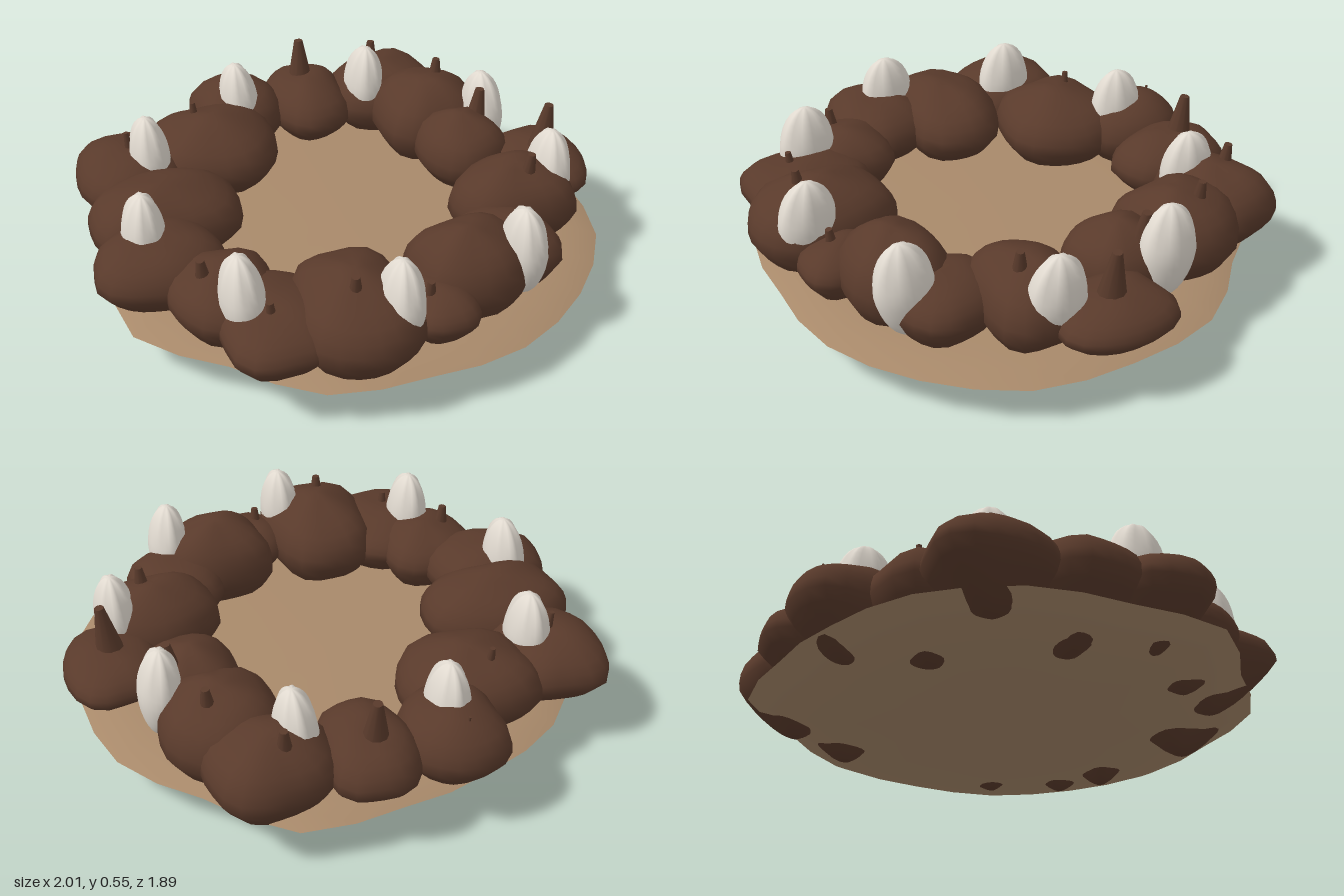
import * as THREE from 'three';
import { mergeVertices, toCreasedNormals } from 'three/addons/utils/BufferGeometryUtils.js';

const brown = new THREE.MeshStandardMaterial({ name: 'earthBrown', color: 0x593a2b });
const tan = new THREE.MeshStandardMaterial({ name: 'sandTan', color: 0xa8896a });
const cream = new THREE.MeshStandardMaterial({ name: 'eggCream', color: 0xe0d9cf });

// Moves every vertex by a rule, welds seams and smooths
function deform(geometry, rule) {
  const pos = geometry.attributes.position;
  const v = new THREE.Vector3();
  for (let i = 0; i < pos.count; i++) {
    v.fromBufferAttribute(pos, i);
    rule(v);
    pos.setXYZ(i, v.x, v.y, v.z);
  }
  geometry.deleteAttribute('uv');
  geometry.deleteAttribute('normal');
  const welded = mergeVertices(geometry, 1e-4);
  welded.computeVertexNormals();
  return welded;
}

// Plate outline: radius at 16 equal angles, from +x towards +z
const rim = [0.95, 0.98, 0.96, 0.95, 0.91, 0.95, 0.9, 0.99, 0.93, 0.96, 0.95, 0.9, 0.9, 0.98, 0.91, 0.96];

function plate() {
  const profile = [[0, 0.062], [0.6, 0.065], [0.8, 0.08], [0.93, 0.12], [1, 0.152], [0.92, 0.18], [0.8, 0.188], [0, 0.186]]
    .map(([r, y]) => new THREE.Vector2(r, y));
  const g = deform(new THREE.LatheGeometry(profile, 32), v => {
    const t = (Math.atan2(v.z, v.x) / (2 * Math.PI) + 1) % 1 * 16;
    const i = Math.floor(t) % 16;
    const r = THREE.MathUtils.lerp(rim[i], rim[(i + 1) % 16], t - Math.floor(t));
    v.x *= r;
    v.z *= r;
  });
  return toCreasedNormals(g, 0.6);
}

// Clods of earth: x, z, half width, half depth, bottom, top
const clods = [
  [-0.23, -0.74, 0.19, 0.21, 0.08, 0.44], [0.08, -0.73, 0.17, 0.23, 0.10, 0.42],
  [0.42, -0.70, 0.23, 0.21, 0.05, 0.45], [0.52, -0.46, 0.22, 0.23, 0.03, 0.48],
  [0.56, -0.17, 0.18, 0.19, 0.10, 0.45], [0.82, 0.01, 0.18, 0.22, 0.13, 0.38],
  [0.60, 0.23, 0.24, 0.19, 0.05, 0.47], [0.46, 0.48, 0.19, 0.20, 0.04, 0.40],
  [0.27, 0.57, 0.22, 0.19, 0.02, 0.49], [0.10, 0.69, 0.14, 0.17, 0.10, 0.37],
  [-0.19, 0.66, 0.22, 0.28, 0.00, 0.47], [-0.46, 0.61, 0.21, 0.25, 0.06, 0.39],
  [-0.59, 0.41, 0.19, 0.21, 0.05, 0.41], [-0.76, 0.18, 0.24, 0.20, 0.08, 0.42],
  [-0.68, -0.10, 0.29, 0.21, 0.05, 0.45], [-0.75, -0.43, 0.21, 0.23, 0.09, 0.42],
  [-0.39, -0.49, 0.26, 0.24, 0.05, 0.45],
];
const WAIST = 0.27;

function clod([x, z, rx, rz, bottom, top], seed) {
  return deform(new THREE.SphereGeometry(1, 20, 14), v => {
    const a = Math.atan2(v.z, v.x);
    // Squarish plan, wavy outline, underside drawn in towards a point
    const square = Math.pow(Math.abs(Math.cos(a)) ** 2.6 + Math.abs(Math.sin(a)) ** 2.6, -1 / 2.6);
    const wave = 1 + 0.03 * Math.sin(3 * a + seed * 1.7) + 0.025 * Math.sin(5 * a + seed * 2.3);
    const s = square * wave * (v.y < 0 ? 1 + 0.5 * v.y : 1 + 0.3 * v.y * v.y * (1 - v.y));
    const rough = 1 + 0.06 * Math.sin(4 * v.x + seed) * Math.cos(5 * v.z + seed * 2);
    const y = v.y < 0 ? WAIST + v.y * (WAIST - bottom) : WAIST + v.y * rough * (top - WAIST);
    v.set(x + v.x * rx * s, y, z + v.z * rz * s);
  });
}

// Egg-shaped buds with a puckered, blunt tip
const buds = [
  [-0.23, -0.68], [0.31, -0.65], [0.70, -0.29], [0.76, 0.20], [0.46, 0.62],
  [-0.06, 0.76], [-0.56, 0.56], [-0.80, 0.10], [-0.67, -0.39],
];

function budGeometry() {
  return deform(new THREE.SphereGeometry(1, 28, 16), v => {
    const a = Math.atan2(v.z, v.x);
    const pucker = 1 + 0.1 * Math.max(v.y, 0) * Math.sin(7 * a);
    const taper = v.y < 0 ? 1 + 0.12 * v.y : 1 - 0.06 * v.y;
    v.set(v.x * 0.08 * taper * pucker, v.y * 0.185, v.z * 0.112 * taper * pucker);
  });
}

// Thorns: x, z, base radius, tip height
const thorns = [
  [0.07, -0.78, 0.055, 0.55], [0.38, -0.76, 0.046, 0.50], [0.57, -0.50, 0.046, 0.52],
  [0.64, -0.22, 0.056, 0.52], [0.82, 0.02, 0.055, 0.55], [0.63, 0.27, 0.046, 0.52],
  [-0.65, 0.41, 0.046, 0.46], [-0.48, 0.65, 0.036, 0.42], [-0.21, 0.72, 0.044, 0.51],
  [0.06, 0.71, 0.04, 0.41], [-0.44, -0.55, 0.032, 0.48], [-0.73, -0.42, 0.03, 0.48],
  [-0.24, -0.82, 0.014, 0.44],
];

export function createModel() {
  const model = new THREE.Group();
  model.name = 'thornyNestRing';
  const add = (name, geometry, material) => {
    const mesh = new THREE.Mesh(geometry, material);
    mesh.name = name;
    model.add(mesh);
    return mesh;
  };

  add('basePlate', plate(), tan);
  clods.forEach((c, i) => add('earthClod', clod(c, i + 1), brown));

  const bud = budGeometry();
  buds.forEach(([x, z], i) => {
    const mesh = add('bud', bud, cream);
    mesh.position.set(x, 0.368, z);
    mesh.rotation.set(0.06 * Math.sin(i * 2), 0, 0.05 * Math.cos(i * 3));
  });

  // Thorns lean slightly outwards
  for (const [x, z, r, top] of thorns) {
    const h = 0.2;
    const thorn = add('thorn', new THREE.CylinderGeometry(r * 0.32, r, h, 10), brown);
    thorn.position.set(x * 1.01, top - h / 2, z * 1.01);
    thorn.rotation.set(z * 0.14, 0, -x * 0.14);
  }
  return model;
}
